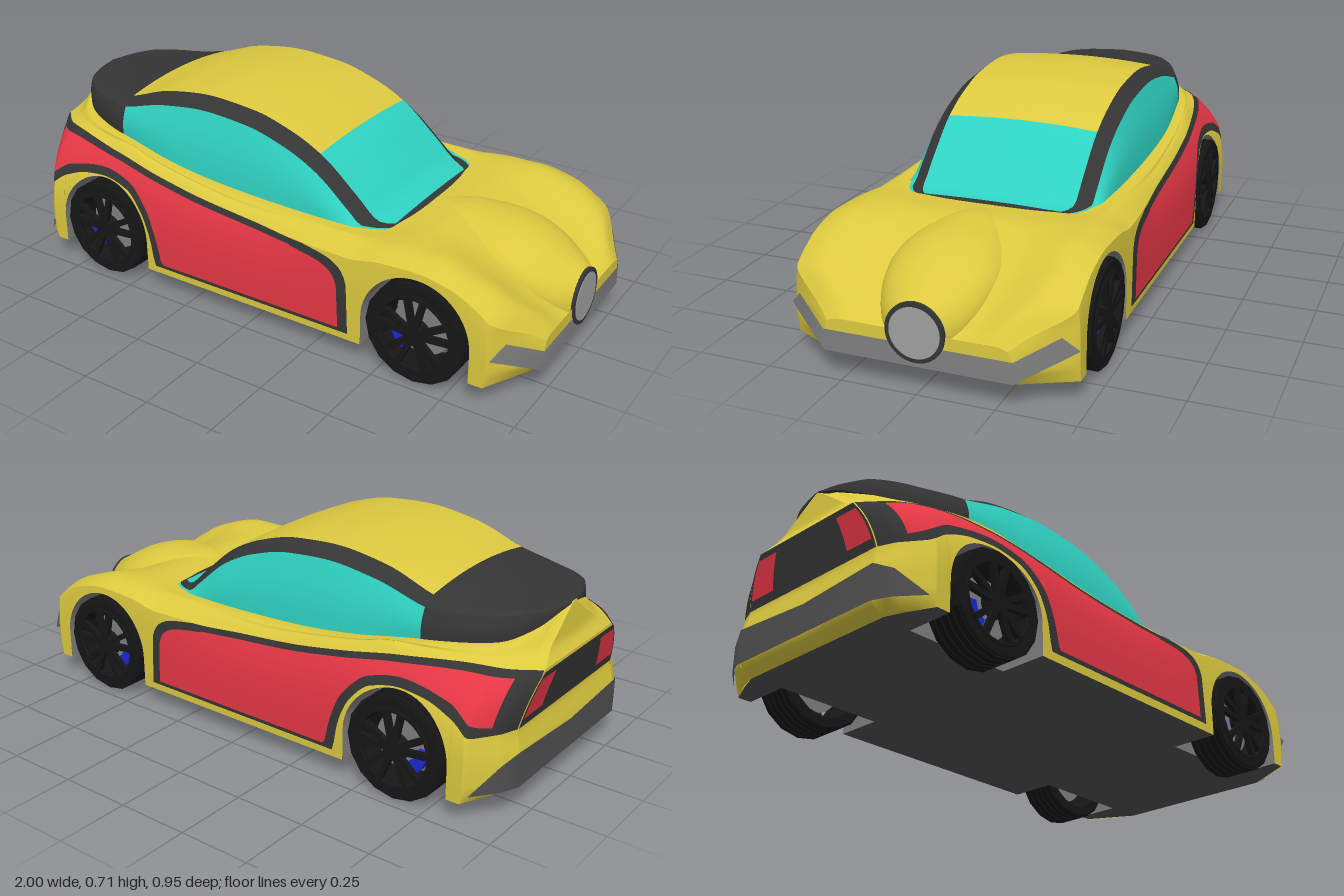
import * as THREE from 'three';

const mat = (color) => new THREE.MeshStandardMaterial({ color, side: THREE.DoubleSide });
const YELLOW = mat(0xdcc93f), RED = mat(0xe63745), GLASS = mat(0x2fd2c2), DARK = mat(0x353535);
const GREY = mat(0x808080), LAMP = mat(0xa0a0a0), BLACK = mat(0x161616), BLUE = mat(0x1a28d8), BAND = mat(0x505050);
BLACK.flatShading = true;

// Smooth monotone curve through [x, y] points
const curve = (...p) => {
  const s = p.slice(1).map((q, i) => (q[1] - p[i][1]) / (q[0] - p[i][0]));
  const m = p.map((_, i) => i === 0 ? s[0] : i === p.length - 1 ? s[i - 1]
    : s[i - 1] * s[i] <= 0 ? 0 : 2 * s[i - 1] * s[i] / (s[i - 1] + s[i]));
  return (x) => {
    if (x <= p[0][0]) return p[0][1];
    let i = 0;
    while (i < p.length - 1 && x > p[i + 1][0]) i++;
    if (i === p.length - 1) return p[i][1];
    const h = p[i + 1][0] - p[i][0], t = (x - p[i][0]) / h, t2 = t * t, t3 = t2 * t;
    return (2 * t3 - 3 * t2 + 1) * p[i][1] + (t3 - 2 * t2 + t) * h * m[i]
      + (3 * t2 - 2 * t3) * p[i + 1][1] + (t3 - t2) * h * m[i + 1];
  };
};
const line = (...p) => (x) => {
  for (let i = 1; i < p.length; i++) if (x <= p[i][0]) {
    const t = Math.max(0, (x - p[i - 1][0]) / (p[i][0] - p[i - 1][0]));
    return p[i - 1][1] + (p[i][1] - p[i - 1][1]) * t;
  }
  return p[p.length - 1][1];
};
const range = (a, b, n) => Array.from({ length: n + 1 }, (_, i) => a + (b - a) * i / n);

// Surface over stations us and vs; side = -1 mirrors it in z
function sheet(us, vs, f, side) {
  const pos = [], idx = [], n = vs.length;
  for (const u of us) for (const v of vs) { const p = f(u, v); pos.push(p[0], p[1], p[2] * side); }
  for (let i = 0; i < us.length - 1; i++) for (let j = 0; j < n - 1; j++) {
    const a = i * n + j, b = a + n, c = b + 1, d = a + 1;
    idx.push(...(side > 0 ? [a, b, c, a, c, d] : [a, c, b, a, d, c]));
  }
  const g = new THREE.BufferGeometry();
  g.setAttribute('position', new THREE.Float32BufferAttribute(pos, 3));
  g.setIndex(idx);
  g.computeVertexNormals();
  return g;
}

// Wheel layout
const AXLES = [-0.63, 0.63], ARCH_Y = 0.175, ARCH_R = 0.192, FLOOR = 0.07;

// Body curves along x: half width, shoulder edge, crest, inner deck, cabin
const halfW = line([-0.98, 0.31], [-0.955, 0.37], [-0.88, 0.465], [0.88, 0.465], [1, 0.3]);
const edgeZ = curve([-0.98, 0.22], [-0.9, 0.3], [-0.8, 0.345], [-0.7, 0.375], [-0.6, 0.395], [-0.4, 0.418], [0, 0.432], [0.4, 0.457], [0.87, 0.457], [1, 0.29]);
const edgeY = curve([-0.98, 0.455], [-0.8, 0.473], [-0.6, 0.458], [-0.4, 0.425], [-0.2, 0.395], [0, 0.378], [0.2, 0.365], [0.38, 0.365], [0.5, 0.385], [0.63, 0.39], [0.75, 0.368], [0.88, 0.295], [0.95, 0.243], [1, 0.19]);
const crestZ = curve([-0.98, 0.17], [-0.9, 0.265], [-0.8, 0.32], [-0.6, 0.37], [-0.3, 0.398], [0, 0.405], [0.4, 0.39], [0.63, 0.37], [0.88, 0.35], [1, 0.24]);
const crestY = curve([-0.98, 0.48], [-0.6, 0.485], [-0.4, 0.45], [0, 0.403], [0.4, 0.407], [0.55, 0.418], [0.63, 0.418], [0.8, 0.37], [0.9, 0.315], [0.96, 0.262], [1, 0.2]);
const cabinW = curve([-0.965, 0.02], [-0.95, 0.1], [-0.9, 0.2], [-0.8, 0.275], [-0.63, 0.333], [-0.3, 0.36], [0, 0.357], [0.3, 0.343], [0.38, 0.325], [0.43, 0.29], [0.46, 0.2]);
const cabinB = curve([-0.965, 0.592], [-0.93, 0.55], [-0.85, 0.513], [-0.63, 0.495], [-0.4, 0.458], [-0.2, 0.433], [0, 0.42], [0.2, 0.412], [0.46, 0.403]);
const cabinT = curve([-0.965, 0.6], [-0.8, 0.613], [-0.63, 0.643], [-0.45, 0.69], [-0.27, 0.71], [-0.1, 0.698], [0.05, 0.658], [0.17, 0.6], [0.3, 0.493], [0.38, 0.424], [0.43, 0.409], [0.46, 0.404]);
const hoodY = curve([0.42, 0.403], [0.55, 0.41], [0.65, 0.39], [0.8, 0.318], [0.92, 0.242], [1, 0.18]);
const hoodZ = curve([0.4, 0.28], [0.55, 0.2], [0.85, 0.19], [1, 0.14]);
// Nose and tail outlines by height
const noseX = line([0.07, 0.955], [0.12, 0.995], [0.2, 0.995], [0.26, 0.985]);
const tailX = line([0.07, -0.93], [0.1, -0.98], [0.2, -0.98], [0.28, -0.962], [0.45, -0.997], [0.49, -0.972], [0.6, -0.965]);

const bottom = (x) => {
  for (const c of AXLES) if (Math.abs(x - c) <= ARCH_R + 1e-6)
    return ARCH_Y + Math.sqrt(Math.max(0, ARCH_R ** 2 - (x - c) ** 2));
  return FLOOR;
};
// Bends both ends of the body to the nose and tail outlines
function shapeEnds(x, y) {
  if (x > 0.85) return 0.85 + (x - 0.85) / 0.15 * (noseX(y) - 0.85);
  if (x < -0.85) return -0.85 - (x + 0.85) / 0.13 * (tailX(y) + 0.85);
  return x;
}
function sidePoint(x, y, off = 0) {
  const t = THREE.MathUtils.clamp((y - 0.12) / (edgeY(x) - 0.12), 0, 1);
  return [shapeEnds(x, y), y, halfW(x) - (halfW(x) - edgeZ(x)) * t ** 3.5 + off];
}
const wallPoint = (x, v) => sidePoint(x, bottom(x) + (edgeY(x) - bottom(x)) * v);
function deckPoint(x, v) {
  const hood = x > 0.42;
  const zi = hood ? hoodZ(x) : Math.max(0, cabinW(x) - 0.008), yi = hood ? hoodY(x) : cabinB(x);
  const zs = [edgeZ(x), crestZ(x), zi, 0], ys = [edgeY(x), crestY(x), yi, hood ? yi : yi - 0.01];
  const p = new THREE.SplineCurve(zs.map((z, i) => new THREE.Vector2(z, ys[i]))).getPoint(v);
  return [shapeEnds(x, p.y), p.y, Math.max(0, p.x)];
}
// Cabin section: side glass for v 0..1, pillar 1..2, roof 2..3
function cabinPoint(x, v) {
  const W = cabinW(x), B = cabinB(x), T = Math.max(cabinT(x), B);
  const z1 = Math.min(0.315, W * 0.94), z2 = Math.min(0.268, W * 0.82);
  const k = THREE.MathUtils.clamp((x + 0.96) / 0.33, 0.15, 1);
  const crown = 0.012 * k + 0.014 * Math.exp(-(((x + 0.68) / 0.14) ** 2));
  const y1 = Math.max(B, T - 0.05 * k), y2 = Math.max(B, T - crown);
  if (v <= 1) return [x, B + (y1 - B) * v, W + (z1 - W) * v + 0.01 * Math.sin(Math.PI * v) * Math.min(1, (y1 - B) * 8)];
  if (v <= 2) return [x, y1 + (y2 - y1) * (v - 1), z1 + (z2 - z1) * (v - 1)];
  return [x, T + (y2 - T) * (3 - v) ** 2, z2 * (3 - v)];
}

function makeWheel() {
  const g = new THREE.Group();
  const add = (name, geo, m) => { const o = new THREE.Mesh(geo, m); o.name = name; g.add(o); };
  // Grooved tyre, turned about z
  const prof = [[0.135, -0.066], [0.168, -0.066]];
  for (let i = 0; i < 5; i++) {
    const z = -0.062 + i * 0.026;
    prof.push([0.175, z], [0.175, z + 0.019], [0.169, z + 0.0195], [0.169, z + 0.0255]);
  }
  prof.push([0.165, 0.068], [0.135, 0.068], [0.13, 0.05], [0.128, -0.06], [0.135, -0.066]);
  const tyre = new THREE.LatheGeometry(prof.map(([r, z]) => new THREE.Vector2(r, z)), 16);
  add('tyre', tyre.rotateX(Math.PI / 2), BLACK);
  add('brakeDisc', new THREE.CylinderGeometry(0.1, 0.1, 0.012, 28).rotateX(Math.PI / 2), GREY);
  add('rim', new THREE.TorusGeometry(0.13, 0.01, 6, 28).translate(0, 0, 0.062), BLACK);
  add('hub', new THREE.CylinderGeometry(0.035, 0.045, 0.035, 16).rotateX(Math.PI / 2).translate(0, 0, 0.055), BLACK);
  for (let i = 0; i < 5; i++) for (const s of [-1, 1]) {
    const spoke = new THREE.BoxGeometry(0.11, 0.02, 0.018).translate(0.078, 0, 0.064);
    add('spoke', spoke.rotateZ(i * Math.PI * 0.4 + s * 0.22 + 0.3), BLACK);
  }
  const caliper = new THREE.Shape().absarc(0, 0, 0.1, 3.2, 4.3, false).absarc(0, 0, 0.06, 4.3, 3.2, true);
  add('brakeCaliper', new THREE.ExtrudeGeometry(caliper, { depth: 0.035, bevelEnabled: false, curveSegments: 8 }), BLUE);
  return g;
}

export function createModel() {
  const car = new THREE.Group();
  car.name = 'car';
  const add = (name, geo, m) => { const o = new THREE.Mesh(geo, m); o.name = name; car.add(o); return o; };
  const pair = (name, us, vs, f, m) => [1, -1].forEach((s) => add(name, sheet(us, vs, f, s), m));

  // Body shell, with extra stations round the wheel arches
  const xs = [...range(-0.98, 1, 110), -0.955, -0.88, 0.88, 0.85, -0.85];
  for (const c of AXLES) {
    xs.push(c - ARCH_R - 0.0005, c + ARCH_R + 0.0005);
    for (const a of range(0, Math.PI, 28)) xs.push(c + ARCH_R * Math.cos(a));
  }
  xs.sort((a, b) => a - b);
  pair('bodySide', xs, range(0, 1, 14), wallPoint, YELLOW);
  pair('bodyDeck', xs, range(0, 1, 18), deckPoint, YELLOW);
  for (const [name, x] of [['noseFace', 1], ['tailFace', -0.98]]) for (const f of [wallPoint, deckPoint])
    pair(name, x > 0 ? [1, 0] : [0, 1], range(0, 1, 18), (t, v) => { const p = f(x, v); return [p[0], p[1], p[2] * t]; }, YELLOW);

  // Door and quarter panel with dark surround
  const trimLow = curve([-0.98, 0.285], [-0.9, 0.285], [-0.82, 0.33], [-0.72, 0.365], [-0.63, 0.374], [-0.53, 0.354], [-0.46, 0.29], [-0.42, 0.2], [-0.398, 0.096], [0.5, 0.096]);
  const redLow = curve([-0.96, 0.305], [-0.9, 0.318], [-0.8, 0.375], [-0.63, 0.404], [-0.52, 0.382], [-0.43, 0.3], [-0.39, 0.2], [-0.365, 0.11], [0.5, 0.11]);
  const trimDrop = curve([0.2, 0.366], [0.3, 0.352], [0.35, 0.33], [0.383, 0.28], [0.392, 0.1]);
  const redDrop = curve([0.16, 0.345], [0.27, 0.33], [0.325, 0.305], [0.35, 0.26], [0.357, 0.11]);
  const patch = (name, x0, x1, low, high, off, m) => pair(name, range(x0, x1, 170), range(0, 1, 10),
    (x, v) => sidePoint(x, low(x) + (Math.max(high(x), low(x)) - low(x)) * v, off), m);
  patch('sideTrim', -0.98, 0.392, trimLow, (x) => x < 0.2 ? edgeY(x) : Math.min(edgeY(x), trimDrop(x)), 0.004, DARK);
  patch('sidePanel', -0.932, 0.357, redLow, (x) => Math.min(edgeY(x) - 0.018, x < 0.16 ? 1 : redDrop(x)), 0.007, RED);

  // Cabin: glass, pillars, roof and dark tail
  const side = range(0, 1, 8), pillar = [1, 1.5, 2], roof = range(2, 3, 8);
  pair('sideWindow', range(-0.63, 0.43, 50), side, cabinPoint, GLASS);
  pair('roofRail', range(-0.63, 0.43, 50), pillar, cabinPoint, DARK);
  pair('roof', range(-0.63, 0.16, 36), roof, cabinPoint, YELLOW);
  pair('windscreen', range(0.16, 0.43, 16), roof, cabinPoint, GLASS);
  pair('cowl', range(0.43, 0.46, 4), [...side, ...pillar, ...roof], cabinPoint, DARK);
  pair('tailDeckSide', range(-0.965, -0.63, 36), side, cabinPoint, DARK);
  pair('tailDeck', range(-0.965, -0.63, 36), [...pillar, ...roof], cabinPoint, DARK);

  // Bonnet bulge with the round lamp at its tip
  const bz = curve([0.47, 0.03], [0.53, 0.1], [0.6, 0.145], [0.7, 0.178], [0.78, 0.184], [0.86, 0.172], [0.95, 0.132], [0.99, 0.096]);
  const by = curve([0.47, 0.01], [0.6, 0.08], [0.75, 0.1], [0.85, 0.105], [0.95, 0.1], [0.99, 0.095]);
  const bc = curve([0.47, 0.396], [0.6, 0.339], [0.75, 0.305], [0.85, 0.268], [0.95, 0.217], [0.99, 0.2]);
  pair('bonnetBulge', range(0.47, 0.99, 30), range(-Math.PI / 2, Math.PI / 2, 20),
    (x, a) => [x, bc(x) + by(x) * Math.sin(a), bz(x) * Math.cos(a)], YELLOW);
  const disc = (r) => new THREE.CylinderGeometry(r, r, 0.03, 36).rotateZ(Math.PI / 2);
  add('lampRing', disc(0.096), DARK).position.set(0.985, 0.2, 0);
  add('lampLens', disc(0.082), LAMP).position.set(0.987, 0.2, 0);

  // Bumper bands and tail panel: stations of [x, z, low, high]
  const band = (name, st, m) => pair(name, st.map((_, i) => i), [0, 0.5, 1], (i, v) => {
    const [x, z, lo, hi] = st[i];
    return [x, lo + (hi - lo) * v, z];
  }, m);
  band('frontBumper', [[0.892, 0.469, 0.174, 0.178], [0.922, 0.425, 0.152, 0.225], [0.9965, 0.305, 0.09, 0.16], [0.9965, 0, 0.09, 0.16]], GREY);
  band('rearBumper', [[-0.984, 0, 0.1, 0.2], [-0.984, 0.314, 0.1, 0.22], [-0.957, 0.378, 0.1, 0.19], [-0.895, 0.458, 0.1, 0.102]], BAND);
  const tail = (name, z0, z1, y0, y1, off, m) => pair(name, range(z0, z1, 4), range(y0, y1, 6),
    (k, y) => [tailX(y) - off, y, sidePoint(-0.98, y)[2] * k], m);
  tail('tailPanel', 0, 1, 0.285, 0.45, 0.002, DARK);
  tail('tailLamp', 0.6, 0.97, 0.315, 0.43, 0.003, RED);

  // Floor with notches for the wheels
  const half = [[-0.93, 0.31], [-0.91, 0.37], [-0.87, 0.465]];
  for (const c of AXLES) half.push([c - ARCH_R, 0.465], [c - ARCH_R, 0.3], [c + ARCH_R, 0.3], [c + ARCH_R, 0.465]);
  half.push([0.865, 0.465], [0.955, 0.3]);
  const outline = [...half, ...half.map(([x, z]) => [x, -z]).reverse()];
  const floor = new THREE.ShapeGeometry(new THREE.Shape(outline.map(([x, z]) => new THREE.Vector2(x, z))));
  add('floor', floor.rotateX(Math.PI / 2).translate(0, FLOOR, 0), BAND);

  // Wheels and their wells: an arch with straight legs down to the floor
  const arch = range(0, Math.PI, 28).map((a) => new THREE.Vector2(ARCH_R * Math.cos(a), ARCH_R * Math.sin(a)));
  const legY = FLOOR - ARCH_Y;
  const wellPath = [new THREE.Vector2(ARCH_R, legY), ...arch, new THREE.Vector2(-ARCH_R, legY)];
  const wellBack = new THREE.ShapeGeometry(new THREE.Shape(wellPath));
  for (const c of AXLES) for (const s of [1, -1]) {
    const well = sheet(wellPath, [0, 1], (p, v) => {
      const x = c + p.x, y = ARCH_Y + p.y;
      return [x, y, 0.3 + (sidePoint(x, y)[2] - 0.3) * v];
    }, s);
    add('wheelWell', well, GREY);
    add('wellBack', wellBack, GREY).position.set(c, ARCH_Y, 0.3 * s);
    const wheel = makeWheel();
    wheel.name = c > 0 ? 'frontWheel' : 'rearWheel';
    wheel.position.set(c, 0.175, 0.4 * s);
    wheel.scale.z = s;
    car.add(wheel);
  }
  return car;
}
